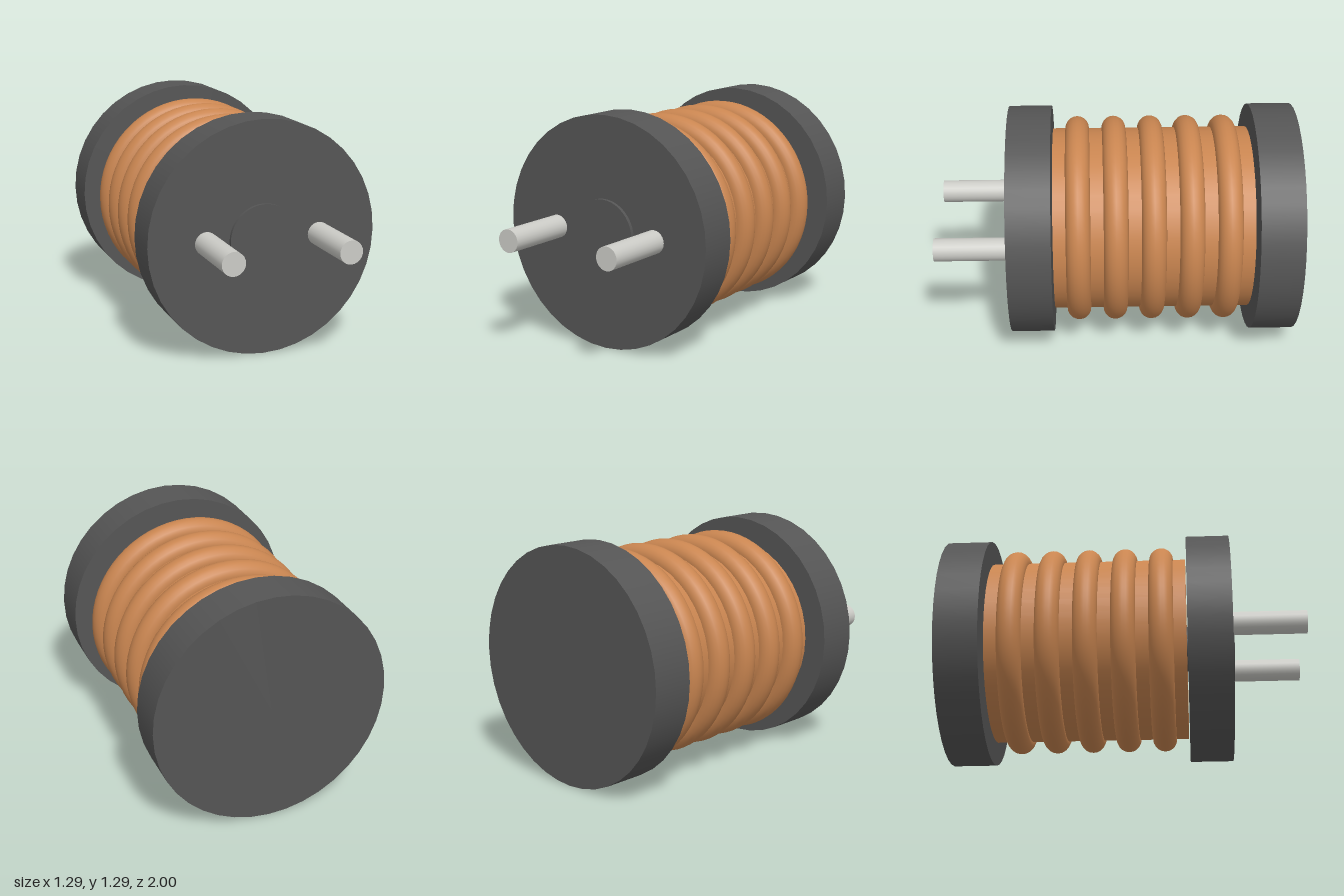
import * as THREE from 'three';

const CENTRE_Y = 0.645;
const dark = new THREE.MeshStandardMaterial({ color: 0x555555 });
const copper = new THREE.MeshStandardMaterial({ color: 0xc98550 });
const metal = new THREE.MeshStandardMaterial({ color: 0xcbcbc6 });

export function createModel() {
  const group = new THREE.Group();

  function add(name, geometry, material, x, z) {
    const mesh = new THREE.Mesh(geometry, material);
    mesh.name = name;
    mesh.position.set(x, CENTRE_Y, z);
    group.add(mesh);
  }

  // Cylinder lying along z between two depths
  function rod(name, radius, z0, z1, material, x = 0, sides = 40) {
    const geometry = new THREE.CylinderGeometry(radius, radius, z1 - z0, sides);
    geometry.rotateX(Math.PI / 2);
    add(name, geometry, material, x, (z0 + z1) / 2);
  }

  // Bobbin: end flanges, core and the small disc on the front
  rod('frontFlange', 0.643, 0.347, 0.587, dark);
  rod('backFlange', 0.643, -1, -0.76, dark);
  rod('core', 0.128, -0.78, 0.36, dark);
  rod('frontDisc', 0.192, 0.58, 0.607, dark);

  // Copper winding with raised turns
  rod('winding', 0.513, -0.751, 0.341, copper);
  for (let i = 0; i < 5; i++) {
    const turn = new THREE.TorusGeometry(0.514, 0.067, 20, 64);
    add(`turn${i + 1}`, turn, copper, 0, 0.205 - i * 0.205);
  }

  // Terminal pins
  rod('leftPin', 0.064, 0.57, 1, metal, 0.32, 24);
  rod('rightPin', 0.064, 0.57, 1, metal, -0.32, 24);

  return group;
}
